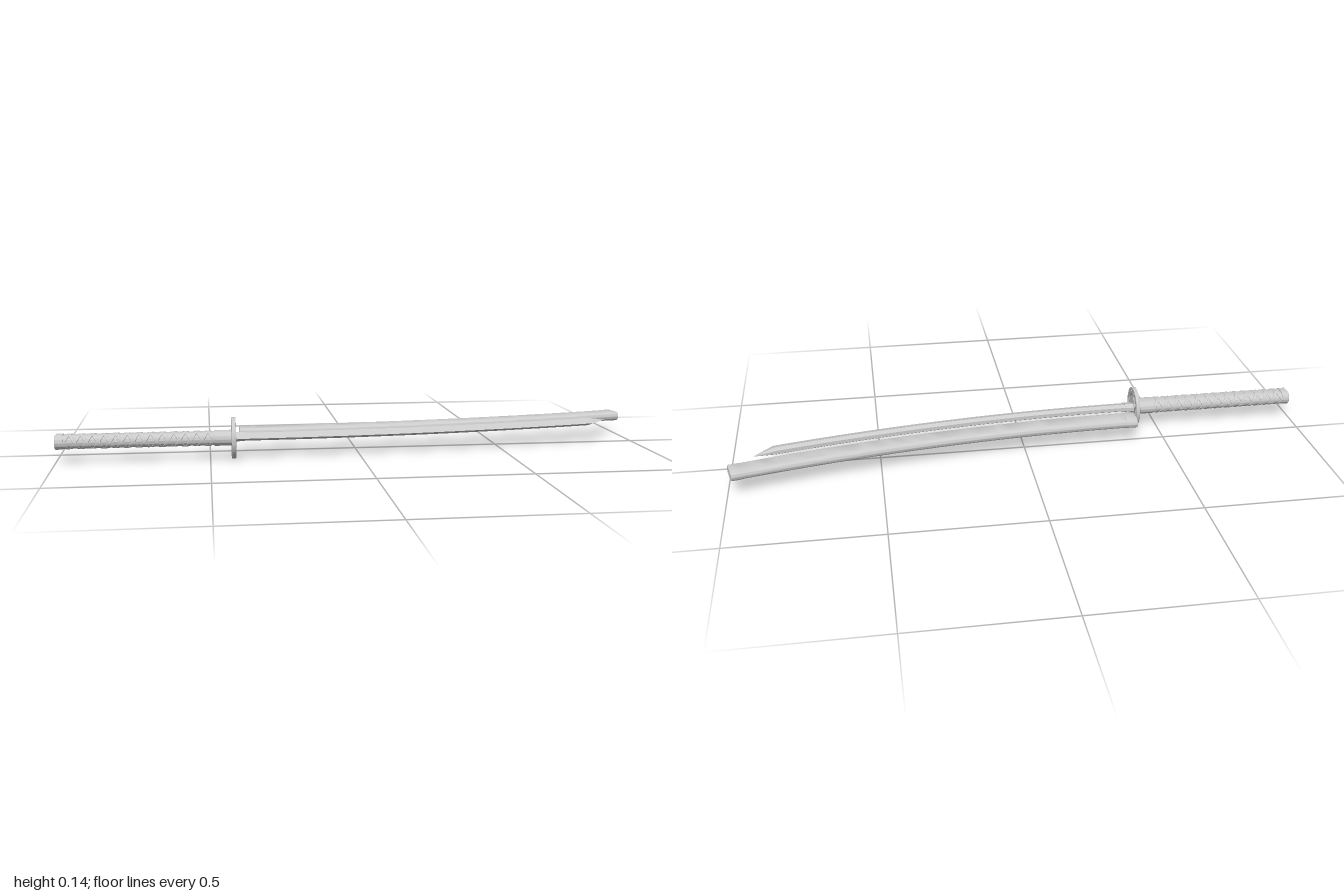
import * as THREE from 'three';
import { toCreasedNormals } from 'three/addons/utils/BufferGeometryUtils.js';

const Y = 0.07;          // height of the centre line
const BEND = 0.0898;     // shared curvature of blade and scabbard
const START = -0.4;      // where the bend begins

// Joins equal-length rings of points; rings run along +x for outward faces.
function loft(rings, crease = 0.6) {
  const n = rings[0].length, index = [];
  for (let i = 0; i < rings.length - 1; i++) {
    for (let j = 0; j < n; j++) {
      const a = i * n + j, b = i * n + (j + 1) % n;
      index.push(a, a + n, b, b, a + n, b + n);
    }
  }
  const g = new THREE.BufferGeometry();
  g.setFromPoints(rings.flat());
  g.setIndex(index);
  return toCreasedNormals(g, crease);
}

// Section outline [z, y] with straight top and bottom and round ends.
function stadium(a, b, n = 32) {
  return Array.from({ length: n }, (_, j) => {
    const t = ((j + 0.5) / n) * Math.PI * 2;
    return [Math.sign(Math.cos(t)) * Math.max(a - b, 0) + Math.min(a, b) * Math.cos(t), b * Math.sin(t)];
  });
}

// Places a section on the bent centre line, square to it.
function onCurve(x, z0, section) {
  const d = Math.max(x - START, 0);
  const slope = 2 * BEND * d, len = Math.hypot(1, slope);
  return section.map(([w, h]) =>
    new THREE.Vector3(x + (w * slope) / len, Y + h, z0 - BEND * d * d + w / len));
}

const range = (a, b, n) => Array.from({ length: n + 1 }, (_, i) => a + ((b - a) * i) / n);

function createScabbard() {
  const z0 = 0.0145, end = 0.99;
  const ring = (x, a, b) => onCurve(x, z0, stadium(a, b));
  const rings = [
    ring(0.1, 0, 0), ring(0.1, 0.03, 0.008),                 // bottom of the blade slot
    ...range(0.05, START, 8).map((x) => ring(x, 0.03, 0.008)),
    ring(START, 0.038, 0.0155), ring(START + 0.002, 0.0395, 0.0165),
    ring(-0.36, 0.0395, 0.0165), ring(-0.36, 0.0385, 0.0158), // mouth collar
    ...range(-0.34, 0.95, 36).map((x) => ring(x, 0.0385, 0.0158)),
    ring(0.955, 0.0395, 0.0165), ring(end - 0.002, 0.0395, 0.0165),
    ring(end, 0.038, 0.0155),
    ring(end, 0.0125, 0.0055), ring(end - 0.006, 0.0125, 0.0055), // end recess
    ring(end - 0.006, 0, 0),
  ];
  return loft(rings);
}

// Five-sided blade section: cutting edge, ridges, back. k shrinks it to the back.
function bladeSection(k, grow = 1) {
  const back = -0.026;
  return [[0.027, 0], [-0.013, 0.0135], [back, 0.006], [back, -0.006], [-0.013, -0.0135]]
    .map(([z, y]) => [(back + (z - back) * k) * grow, y * k * grow]);
}

function createBlade() {
  const z0 = 0.127;
  const rings = range(-0.425, 0.852, 40).map((x) => onCurve(x, z0, bladeSection(1)));
  for (const t of range(0.2, 1, 4)) rings.push(onCurve(0.852 + 0.075 * t, z0, bladeSection(1 - t)));
  return loft(rings, 0.2);
}

function createBladeCollar() {
  const full = bladeSection(1, 1.14), none = bladeSection(1, 0.9);
  return loft([onCurve(-0.425, 0.127, full), onCurve(-0.385, 0.127, full),
    onCurve(-0.385, 0.127, none)], 0.2);
}

// Straight solid with the handle's rounded section: [x, half width, half height].
function grip(profile) {
  return loft(profile.map(([x, a, b]) =>
    stadium(a, b, 40).map(([z, y]) => new THREE.Vector3(x, Y + y, 0.124 + z))));
}

// Flat cord wound round the handle; dir picks the winding sense.
function cord(dir, phase) {
  const turns = 6.5, x0 = -0.972, x1 = -0.488, half = 0.007, steps = 220;
  const rings = range(0, 1, steps).map((t) => {
    const a = dir * (phase + t * turns * Math.PI * 2);
    const at = (dx, lift) => {
      const x = Math.min(Math.max(x0 + (x1 - x0) * t + dx, x0), x1);
      const c = Math.cos(a), s = Math.sin(a);
      return new THREE.Vector3(x, Y + s * (0.0215 + lift),
        0.124 + Math.sign(c) * Math.pow(Math.abs(c), 0.6) * (0.034 + lift));
    };
    const loop = [at(-half, -0.002), at(-half * 0.7, 0.0022), at(half * 0.7, 0.0022), at(half, -0.002)];
    return dir > 0 ? loop.reverse() : loop;
  });
  return loft(rings, 0.5);
}

// Curved slot between two radii and two angles, with rounded ends.
function arcSlot(r, half, from, to) {
  const p = new THREE.Path();
  p.absarc(0, 0, r + half, from, to, false);
  p.absarc(r * Math.cos(to), r * Math.sin(to), half, to, to + Math.PI, false);
  p.absarc(0, 0, r - half, to, from, true);
  p.absarc(r * Math.cos(from), r * Math.sin(from), half, from + Math.PI, from + Math.PI * 2, false);
  return p;
}

function createGuard() {
  const rad = Math.PI / 180;
  const s = new THREE.Shape();
  s.absarc(0, 0, 0.0665, 0, Math.PI * 2, false);
  for (const side of [0, 180]) {
    s.holes.push(arcSlot(0.056, 0.0035, (side - 10) * rad, (side + 10) * rad)); // side slots
    for (const a of [28, 50, 72, 108, 130, 152]) {                              // rim holes
      s.holes.push(arcSlot(0.057, 0.0036, (side + a - 4) * rad, (side + a + 4) * rad));
    }
    for (const a of [20, 108]) {                                               // inner slots
      s.holes.push(arcSlot(0.042, 0.005, (side + a) * rad, (side + a + 52) * rad));
    }
  }
  const g = new THREE.ExtrudeGeometry(s, {
    depth: 0.01, bevelEnabled: true, bevelSize: 0.002, bevelThickness: 0.002,
    bevelSegments: 2, curveSegments: 24,
  });
  g.translate(0, 0, -0.005).rotateY(Math.PI / 2).translate(-0.423, 0.0695, 0.128);
  return toCreasedNormals(g, 0.6);
}

export function createModel() {
  const group = new THREE.Group();
  const material = new THREE.MeshStandardMaterial({ color: 0xcccccc });
  const add = (name, geometry) => {
    const mesh = new THREE.Mesh(geometry, material);
    mesh.name = name;
    group.add(mesh);
  };

  add('scabbard', createScabbard());
  add('blade', createBlade());
  add('bladeCollar', createBladeCollar());
  add('guard', createGuard());
  add('handleCore', grip([[-0.98, 0.0342, 0.0215], [-0.48, 0.0342, 0.0215]]));
  add('pommelCap', grip([[-1, 0, 0], [-1, 0.033, 0.021], [-0.997, 0.036, 0.024],
    [-0.973, 0.036, 0.024], [-0.973, 0.03, 0.018]]));
  add('ferrule', grip([[-0.487, 0.03, 0.018], [-0.487, 0.036, 0.024],
    [-0.428, 0.036, 0.024], [-0.428, 0, 0]]));

  // Crossing cords of the handle wrap
  for (const dir of [1, -1]) {
    for (const phase of [0, Math.PI]) add('handleWrap', cord(dir, phase));
  }
  return group;
}
